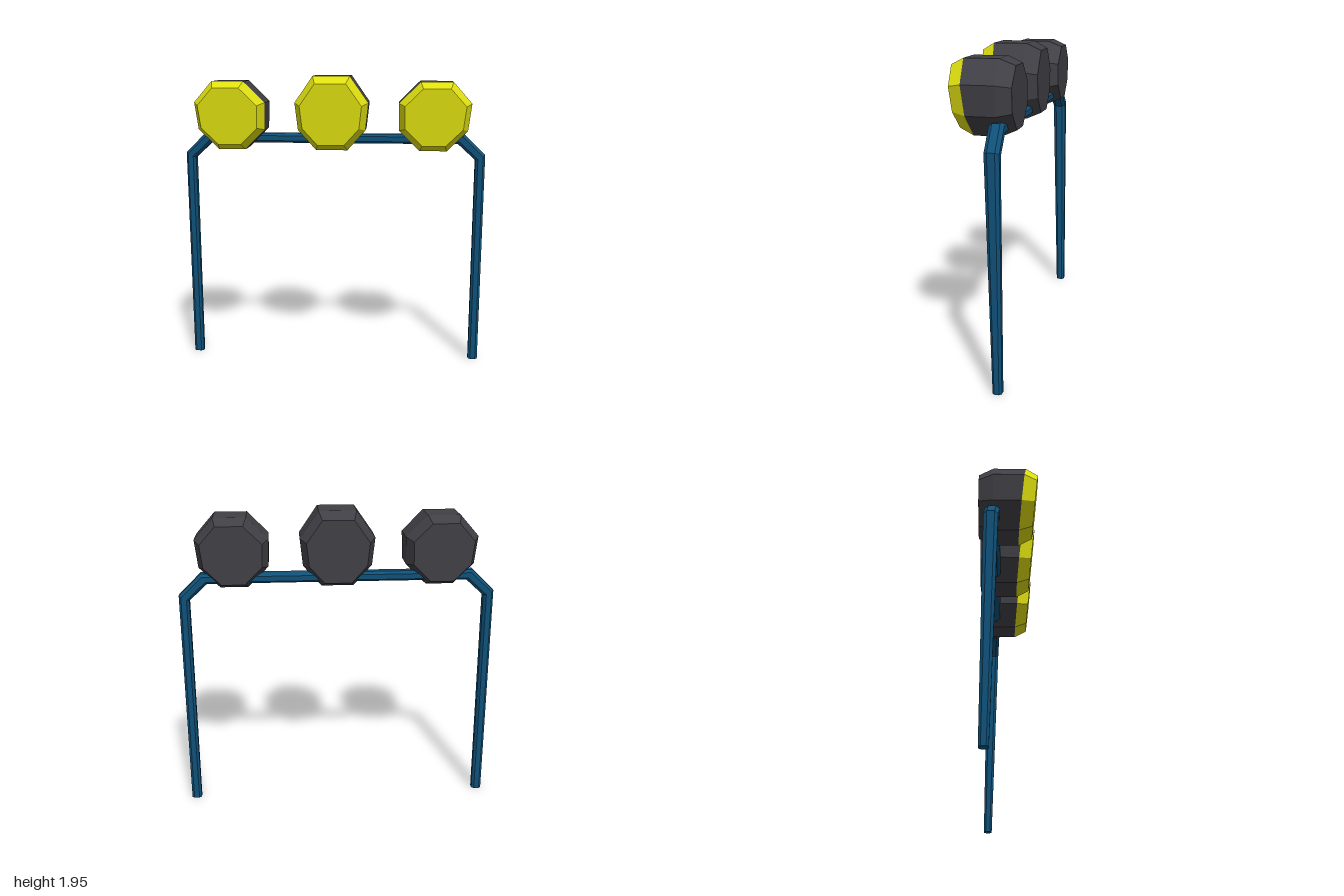
import * as THREE from 'three';

// Skin a list of closed rings (counter-clockwise about the path) with flat facets
function loft(rings, capStart, capEnd) {
  const pos = [];
  const tri = (...pts) => pts.forEach((p) => pos.push(p.x, p.y, p.z));
  const n = rings[0].length;
  for (let r = 0; r < rings.length - 1; r++) {
    const a = rings[r], b = rings[r + 1];
    for (let i = 0; i < n; i++) {
      const j = (i + 1) % n;
      tri(a[i], a[j], b[j]);
      tri(a[i], b[j], b[i]);
    }
  }
  const cap = (ring, flip) => {
    const c = ring.reduce((s, p) => s.add(p), new THREE.Vector3()).divideScalar(n);
    ring.forEach((p, i) => {
      const q = ring[(i + 1) % n];
      flip ? tri(c, q, p) : tri(c, p, q);
    });
  };
  if (capStart) cap(rings[0], true);
  if (capEnd) cap(rings[rings.length - 1], false);
  const g = new THREE.BufferGeometry();
  g.setAttribute('position', new THREE.Float32BufferAttribute(pos, 3));
  g.computeVertexNormals();
  return g;
}

export function createModel() {
  const root = new THREE.Group();
  root.name = 'lightBar';
  const blue = new THREE.MeshStandardMaterial({ color: 0x0f5078 });
  blue.name = 'blue paint';
  const dark = new THREE.MeshStandardMaterial({ color: 0x403f45 });
  dark.name = 'dark housing';
  const yellow = new THREE.MeshStandardMaterial({ color: 0xdfdf10 });
  yellow.name = 'yellow lens';

  const add = (parent, name, geometry, material) => {
    const m = new THREE.Mesh(geometry, material);
    m.name = name;
    parent.add(m);
  };

  // Bent bar: x, y, z centre, half width vector (ux, uy), half depth
  const half = [
    [-0.968, 0, -0.136, -0.032, 0, 0.028],
    [-0.968, 1.412, -0.111, -0.032, 0.017, 0.044],
    [-0.84, 1.533, -0.104, -0.02, 0.032, 0.045],
  ];
  const mirrored = half.map(([x, y, z, ux, uy, d]) => [-x, y, z, -ux, uy, d]).reverse();
  const stations = [...half, [0, 1.531, -0.096, 0, 0.031, 0.046], ...mirrored];
  const k = 0.52;
  const section = [[1, -k], [1, k], [k, 1], [-k, 1], [-1, k], [-1, -k], [-k, -1], [k, -1]];
  const barRings = stations.map(([x, y, z, ux, uy, d]) =>
    section.map(([s, t]) => new THREE.Vector3(x + ux * s, y + uy * s, z + d * t)));
  add(root, 'bentBar', loft(barRings, true, true), blue);

  // Octagonal lamp: straight housing, chamfered back, lens leaning forward at the top
  const lamp = (name, outline, cx) => {
    const group = new THREE.Group();
    group.name = name;
    const cy = 1.69;
    const ring = (sx, sy, depth) => outline.map(([x, y]) => {
      const px = cx + (x - cx) * sx, py = cy + (y - cy) * sy;
      return new THREE.Vector3(px, py, depth(py));
    });
    const back = ring(0.83, 0.83, () => -0.19);
    const shoulder = ring(1, 1, () => -0.1);
    const rim = ring(1, 1, (y) => 0.06 + (y - 1.47) * 0.105);
    const face = ring(0.83, 0.82, (y) => 0.145 + (y - 1.505) * 0.105);
    add(group, 'housing', loft([back, shoulder, rim], true, false), dark);
    add(group, 'lens', loft([rim, face], false, true), yellow);
    root.add(group);
  };

  // Outlines run counter-clockwise as seen from the front
  const centre = [
    [0.237, 1.775], [0.118, 1.945], [-0.118, 1.945], [-0.237, 1.775],
    [-0.218, 1.6], [-0.102, 1.47], [0.102, 1.47], [0.218, 1.6],
  ];
  const left = [
    [0.89, 1.775], [0.77, 1.91], [0.565, 1.91], [0.43, 1.775],
    [0.434, 1.6], [0.565, 1.47], [0.74, 1.47], [0.87, 1.6],
  ];
  const right = left.map(([x, y]) => [-x, y]).reverse();
  lamp('centreLamp', centre, 0);
  lamp('leftLamp', left, 0.66);
  lamp('rightLamp', right, -0.66);
  return root;
}
